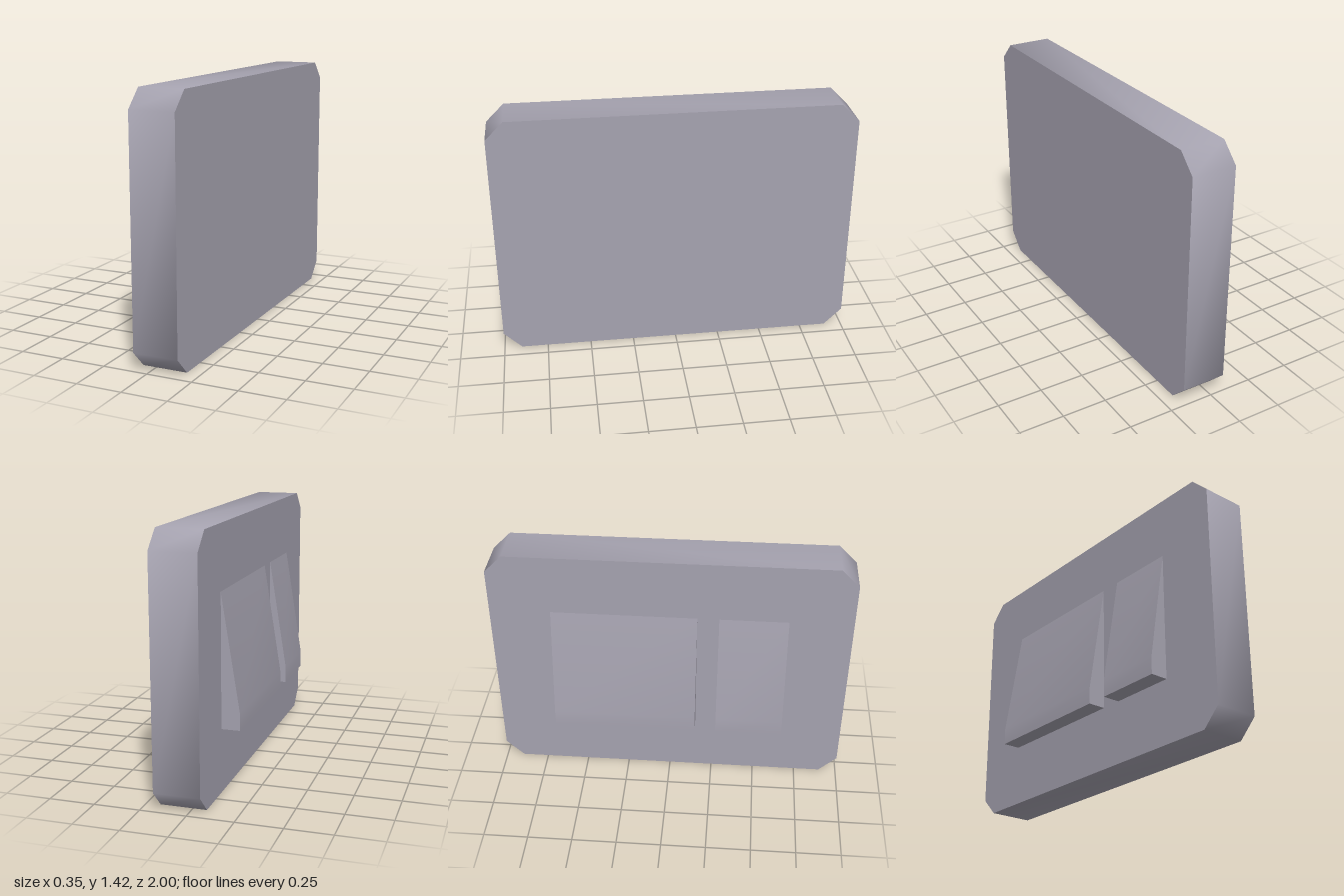
import * as THREE from 'three';
import { toCreasedNormals } from 'three/addons/utils/BufferGeometryUtils.js';

// Extrude a 2D outline, smoothing edges gentler than about 52 degrees
function extrude(points, depth) {
  const shape = new THREE.Shape(points.map(([x, y]) => new THREE.Vector2(x, y)));
  const geometry = new THREE.ExtrudeGeometry(shape, { depth, bevelEnabled: false });
  return toCreasedNormals(geometry, 0.9);
}

export function createModel() {
  const group = new THREE.Group();
  const plastic = new THREE.MeshStandardMaterial({ color: 0xa5a2af });
  plastic.name = 'greyPlastic';

  // Upright slab with chamfered corners, extruded along x
  const h = 1.42, c = 0.1;
  const outline = [
    [-1 + c, 0], [1 - c, 0], [1, c], [1, h - c],
    [1 - c, h], [-1 + c, h], [-1, h - c], [-1, c],
  ];
  const plate = new THREE.Mesh(extrude(outline, 0.25), plastic);
  plate.name = 'plate';
  plate.rotation.y = Math.PI / 2;
  plate.position.x = -0.075;
  group.add(plate);

  // Two tilted rockers on the -x face, extruded along z
  const profile = [[-0.075, 0.35], [-0.075, 1.075], [-0.175, 0.445], [-0.175, 0.35]];
  const rockers = [['wideRocker', -0.66, 0.15], ['narrowRocker', 0.27, 0.65]];
  for (const [name, z0, z1] of rockers) {
    const rocker = new THREE.Mesh(extrude(profile, z1 - z0), plastic);
    rocker.name = name;
    rocker.position.z = z0;
    group.add(rocker);
  }

  return group;
}
